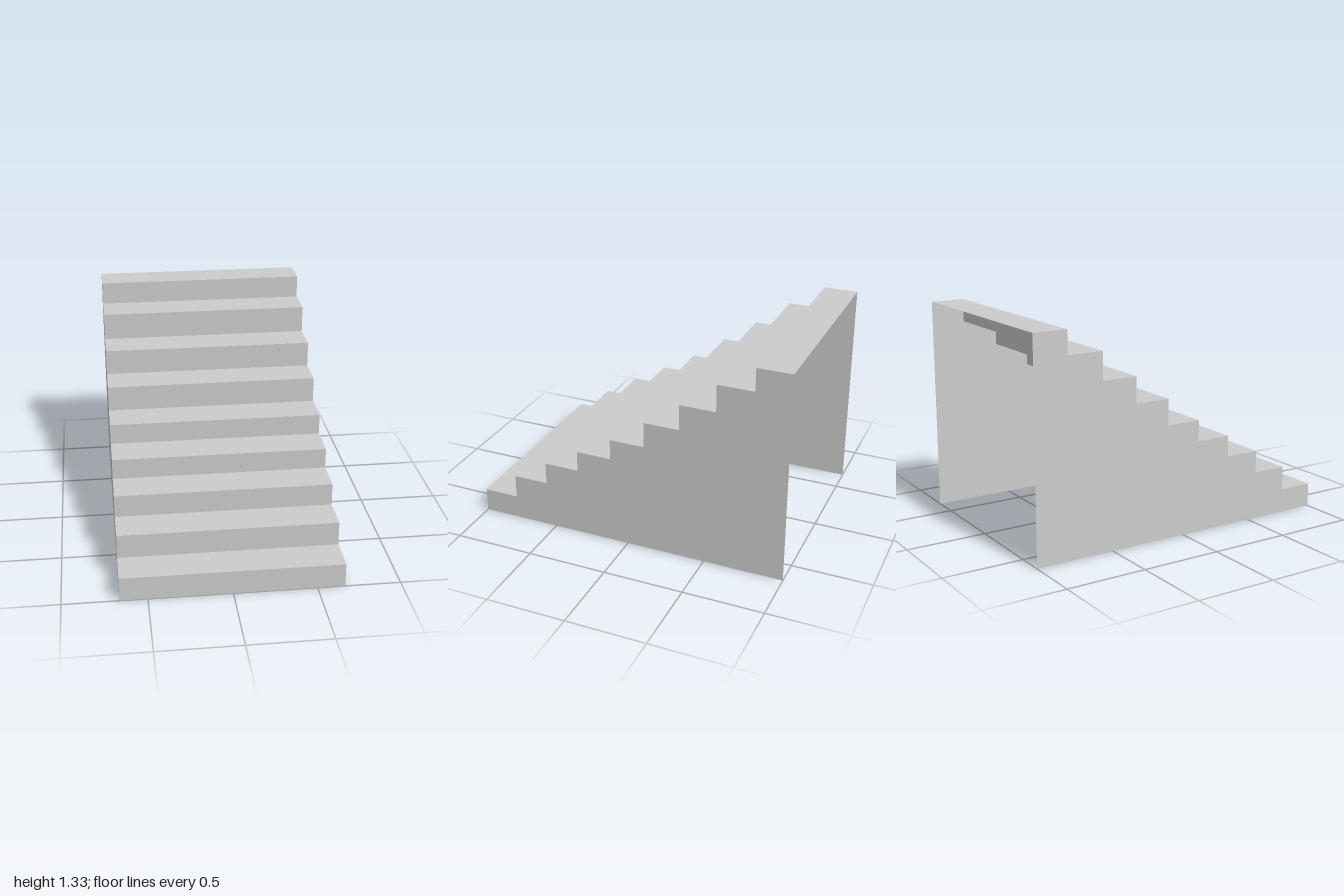
import * as THREE from 'three';

const HALF_WIDTH = 0.665;
// Height of each tread, from the front step to the top one
const HEIGHTS = [0.15, 0.30, 0.44, 0.57, 0.70, 0.86, 1.02, 1.19, 1.333];
// Depth position of each riser, ending at the open back
const EDGES = [1, 0.777, 0.554, 0.331, 0.107, -0.115, -0.338, -0.562, -0.787, -1];

export function createModel() {
  const group = new THREE.Group();
  const material = new THREE.MeshStandardMaterial({
    color: 0xcccccc, flatShading: true, side: THREE.DoubleSide,
  });

  const add = (name, geometry) => {
    const mesh = new THREE.Mesh(geometry, material);
    mesh.name = name;
    group.add(mesh);
    return mesh;
  };

  // Treads and risers: thin sheets, open underneath and at the back
  HEIGHTS.forEach((top, i) => {
    const bottom = i ? HEIGHTS[i - 1] : 0;
    const front = EDGES[i], back = EDGES[i + 1];

    const riser = add(`riser${i + 1}`, new THREE.PlaneGeometry(2 * HALF_WIDTH, top - bottom));
    riser.position.set(0, (top + bottom) / 2, front);

    const tread = add(`tread${i + 1}`, new THREE.PlaneGeometry(2 * HALF_WIDTH, front - back));
    tread.rotation.x = -Math.PI / 2;
    tread.position.set(0, top, (front + back) / 2);
  });

  // Stepped side walls, mirrored so that both face outwards
  for (const side of [1, -1]) {
    const outline = [[EDGES[0], 0]];
    HEIGHTS.forEach((y, i) => outline.push([EDGES[i], y], [EDGES[i + 1], y]));
    outline.push([EDGES[EDGES.length - 1], 0]);
    const shape = new THREE.Shape(outline.map(([z, y]) => new THREE.Vector2(-side * z, y)));

    const wall = add(side > 0 ? 'leftWall' : 'rightWall', new THREE.ShapeGeometry(shape));
    wall.rotation.y = side * Math.PI / 2;
    wall.position.x = side * HALF_WIDTH;
  }

  return group;
}
